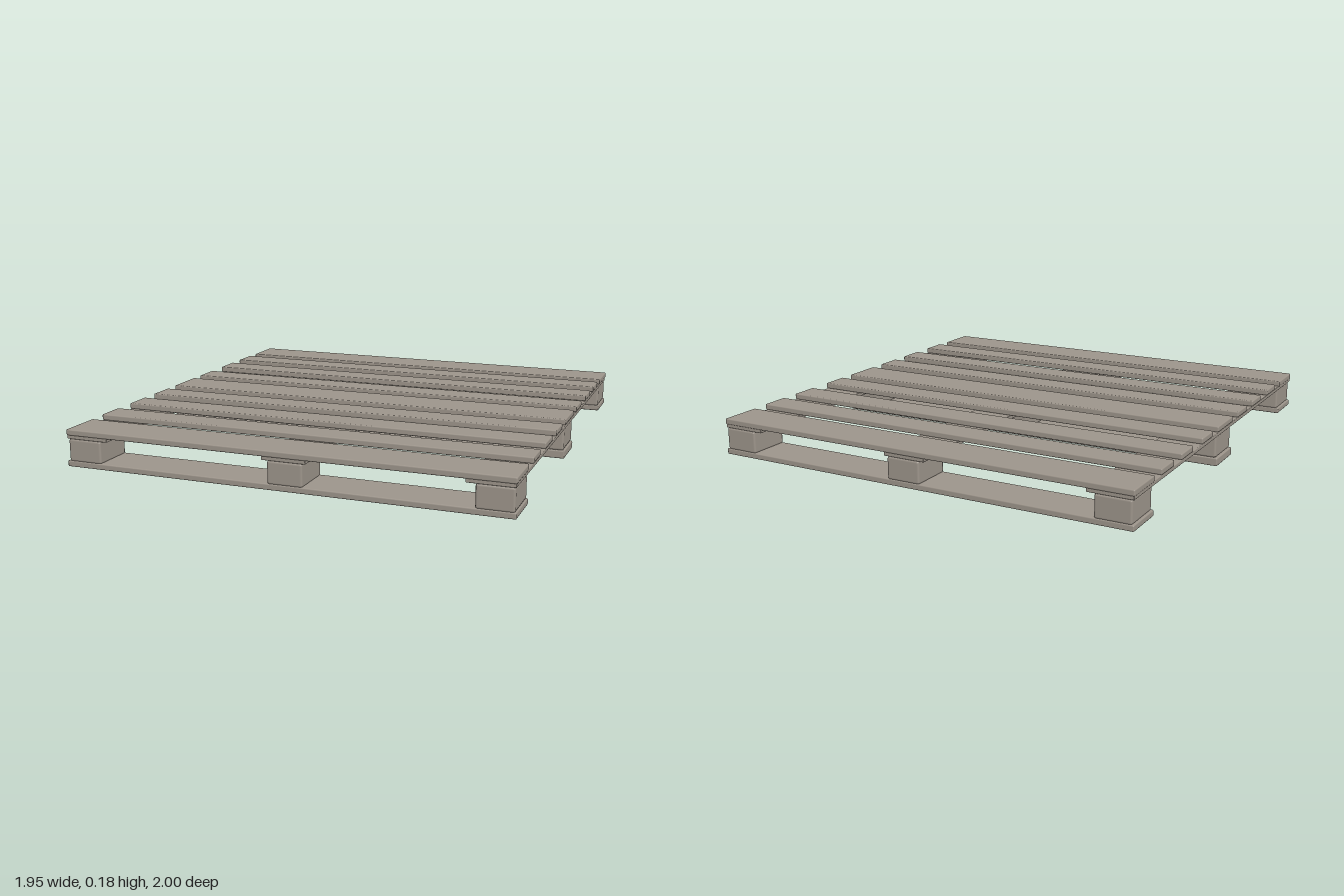
import * as THREE from 'three';
import { RoundedBoxGeometry } from 'three/addons/geometries/RoundedBoxGeometry.js';

export function createModel() {
  const model = new THREE.Group();
  model.name = 'pallet';
  const wood = new THREE.MeshStandardMaterial({ color: 0x9d958b });
  wood.name = 'weathered wood';

  // A plank with softened edges, given by its extents on each axis
  function plank(name, [x0, x1], [y0, y1], [z0, z1], radius = 0.006) {
    const geometry = new RoundedBoxGeometry(x1 - x0, y1 - y0, z1 - z0, 1, radius);
    const mesh = new THREE.Mesh(geometry, wood);
    mesh.name = name;
    mesh.position.set((x0 + x1) / 2, (y0 + y1) / 2, (z0 + z1) / 2);
    model.add(mesh);
  }

  const across = [-0.977, 0.975];
  const rows = [[-1, -0.81], [-0.1, 0.092], [0.805, 1]];

  // Deck: wide boards at the ends and middle, narrow slats between
  rows.forEach((z, i) => plank('deckBoard', across, i === 1 ? [0.153, 0.18] : [0.15, 0.177], z));
  for (const z of [-0.675, -0.465, -0.23, 0.227, 0.437, 0.665]) {
    plank('deckSlat', across, [0.153, 0.18], [z - 0.064, z + 0.064]);
  }

  // Stringers running front to back under the deck
  for (const x of [[-0.974, -0.78], [-0.064, 0.128], [0.777, 0.972]]) {
    plank('stringer', x, [0.135, 0.153], [-0.997, 0.997], 0.003);
  }

  // Three rows of blocks on bottom boards; the middle row sits lowest
  rows.forEach(([z0, z1], i) => {
    plank('bottomBoard', across, i === 1 ? [0, 0.037] : [0.013, 0.04], [z0, z1]);
    for (const x of [[-0.968, -0.812], [-0.04, 0.114], [0.815, 0.969]]) {
      plank('block', x, [0.036, 0.136], [z0 + 0.002, z1 - 0.002], 0.01);
    }
  });

  return model;
}
